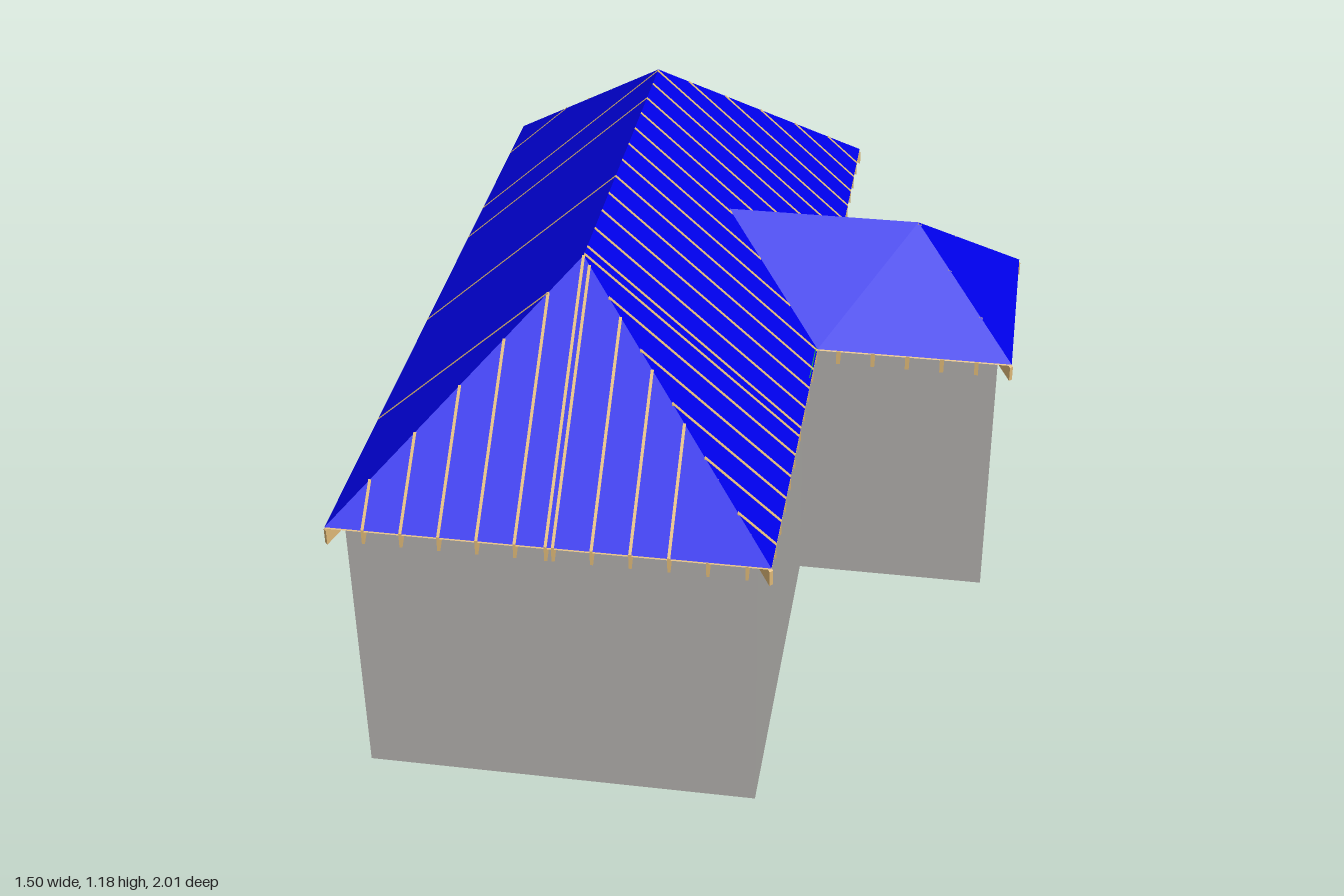
import * as THREE from 'three';

const mat = (name, color, side = THREE.FrontSide) =>
  Object.assign(new THREE.MeshStandardMaterial({ color, side }), { name });

// Main block and wing dimensions
const EAVE = 0.72, PITCH = 0.905, OVER = 0.035;
const MX = -0.2425, MH = 0.5025;           // main ridge x, half width
const WZ = -0.16, WH = 0.2625, WX = 0.745; // wing ridge z, half width, eave end
const EX = MX + MH, L = MX - MH;           // main eaves on the wing side and opposite
const N = WZ - WH, S = WZ + WH;            // wing eaves
const RZ = 1 - MH;                         // main ridge end
const STEP = 0.0865;

// T-shaped plan, inset by d, as [x, z] corners
const plan = d => [
  [L + OVER + d, -0.965 + d], [EX - OVER - d, -0.965 + d],
  [EX - OVER - d, N + OVER + d], [WX - OVER - d, N + OVER + d],
  [WX - OVER - d, S - OVER - d], [EX - OVER - d, S - OVER - d],
  [EX - OVER - d, 0.965 - d], [L + OVER + d, 0.965 - d],
];

export function createModel() {
  const group = new THREE.Group();
  const grey = mat('outer wall grey', 0xacaaa7);
  const dark = mat('wall cavity dark grey', 0x55555a);
  const cream = mat('inner wall cream', 0xe0dcc6, THREE.DoubleSide);
  const blue = mat('roof blue', 0x0000e8, THREE.DoubleSide);
  const wood = mat('timber tan', 0xdcb676, THREE.DoubleSide);
  const green = mat('beam green', 0x1fb82f, THREE.DoubleSide);

  const add = (name, geo, material, parent = group) => {
    const m = new THREE.Mesh(geo, material);
    m.name = name;
    parent.add(m);
  };

  // Walls: three nested rings, open at top and bottom
  const toPoints = d => plan(d).map(([x, z]) => new THREE.Vector2(x, -z)).reverse();
  const ring = (name, d0, d1, material) => {
    const shape = new THREE.Shape(toPoints(d0));
    shape.holes.push(new THREE.Path(toPoints(d1)));
    const geo = new THREE.ExtrudeGeometry(shape, { depth: EAVE - 0.002, bevelEnabled: false });
    add(name, geo.rotateX(-Math.PI / 2), material);
  };
  ring('outerWall', 0, 0.016, grey);
  ring('wallCavity', 0.016, 0.034, dark);
  // Inner lining stands a hair above the wall foot
  const lining = plan(0.0345), liningTop = EAVE - 0.002;
  lining.forEach(([x, z], i) => {
    const [x2, z2] = lining[(i + 1) % lining.length];
    const geo = new THREE.PlaneGeometry(Math.hypot(x2 - x, z2 - z), liningTop);
    geo.rotateY(-Math.atan2(z2 - z, x2 - x));
    geo.translate((x + x2) / 2, liningTop / 2, (z + z2) / 2);
    add('innerWall', geo, cream);
  });

  // Roof slopes: planar polygons of [x, z, run]; height follows the run in from the eave
  const up = run => EAVE + PITCH * run;
  const slope = (name, pts) => {
    // Triangulate in plan, then lift the corners
    const flat = pts.map(p => new THREE.Vector2(p[0], -p[1]));
    const geo = new THREE.ShapeGeometry(new THREE.Shape(flat)).rotateX(-Math.PI / 2);
    const pos = geo.attributes.position;
    for (let i = 0; i < pos.count; i++) {
      const p = pts.find(q => Math.hypot(q[0] - pos.getX(i), q[1] - pos.getZ(i)) < 1e-5);
      pos.setY(i, up(p[2]));
    }
    geo.computeVertexNormals();
    add(name, geo, blue);
  };
  const ridgeF = [MX, RZ, MH], ridgeB = [MX, -RZ, MH];
  const wingTop = [WX - WH, WZ, WH], valleyTop = [EX - WH, WZ, WH];
  slope('frontRoofHip', [[L, 1, 0], [EX, 1, 0], ridgeF]);
  slope('backRoofHip', [[EX, -1, 0], [L, -1, 0], ridgeB]);
  slope('rightRoofSlope', [[L, -1, 0], [L, 1, 0], ridgeF, ridgeB]);
  slope('leftRoofSlope', [[EX, 1, 0], [EX, S, 0], valleyTop, [EX, N, 0], [EX, -1, 0], ridgeB, ridgeF]);
  slope('wingFrontSlope', [[EX, S, 0], [WX, S, 0], wingTop, valleyTop]);
  slope('wingBackSlope', [[WX, N, 0], [EX, N, 0], valleyTop, wingTop]);
  slope('wingEndHip', [[WX, S, 0], [WX, N, 0], wingTop]);

  // Timbers: a box sheared along a line, with plumb-cut ends; corners are [x, z, run]
  const timbers = new THREE.Group();
  timbers.name = 'roofTimbers';
  group.add(timbers);
  const PROUD = 0.001, BELOW = -0.0015;
  const beam = (name, a, b, lift = BELOW, width = 0.01, drop = 0.038, material = wood) => {
    const A = new THREE.Vector3(a[0], up(a[2]) + lift, a[1]);
    const B = new THREE.Vector3(b[0], up(b[2]) + lift, b[1]);
    if (A.distanceTo(B) < 0.02) return;
    const sideways = new THREE.Vector3(B.x - A.x, 0, B.z - A.z).normalize()
      .cross(new THREE.Vector3(0, 1, 0));
    const geo = new THREE.BoxGeometry(1, 1, 1);
    const pos = geo.attributes.position, v = new THREE.Vector3();
    for (let i = 0; i < pos.count; i++) {
      v.lerpVectors(A, B, pos.getX(i) + 0.5).addScaledVector(sideways, pos.getZ(i) * width);
      v.y += (pos.getY(i) - 0.5) * drop;
      pos.setXYZ(i, v.x, v.y, v.z);
    }
    geo.computeVertexNormals();
    add(name, geo, material, timbers);
  };

  // Main rafters along both long slopes
  const zs = [0.49, -0.49];
  for (let k = 0; k <= 10; k++) zs.push(0.455 - k * STEP);
  for (let k = 1; k <= 5; k++) zs.push(1 - k * STEP, -1 + k * STEP);
  zs.forEach((z, i) => {
    const end = Math.min(MH, 1 - Math.abs(z));
    const start = Math.max(0, WH - Math.abs(z - WZ));
    beam('rightRafter', [L, z, 0], [L + end, z, end], i % 5 === 1 ? PROUD : BELOW, 0.008);
    beam('leftRafter', [EX - start, z, start], [EX - end, z, end], PROUD, 0.009);
  });

  // Jack rafters on the front and back hips
  const xs = [MX];
  for (let k = 1; k <= 11; k++) xs.push(L + k * STEP);
  xs.forEach((x, i) => {
    const run = MH - Math.abs(x - MX);
    beam('frontRafter', [x, 1, 0], [x, 1 - run, run], i < 10 ? PROUD : BELOW, 0.007);
    beam('backRafter', [x, -1, 0], [x, -1 + run, run], i % 5 === 3 ? PROUD : BELOW, 0.008);
  });

  // Wing rafters
  for (let k = 1; k <= 8; k++) {
    const x = WX - k * STEP;
    const start = Math.max(0, EX - x), end = Math.min(WH, WX - x);
    for (const s of [-1, 1]) {
      beam('wingRafter', [x, WZ + s * (WH - start), start], [x, WZ + s * (WH - end), end]);
    }
  }
  for (let k = -2; k <= 2; k++) {
    const run = WH - Math.abs(k) * STEP;
    beam('wingEndRafter', [WX, WZ + k * STEP, 0], [WX - run, WZ + k * STEP, run]);
  }

  // Hip and valley beams, corner ties and eave boards beside the valleys
  for (const s of [-1, 1]) {
    for (const [x, d] of [[L, 1], [EX, -1]]) {
      beam('hipBeam', [x, s, 0], [MX, s * RZ, MH], -0.008);
      beam('cornerTie', [x + d * 0.12, s * 0.72, 0.12], [x + d * 0.28, s * 0.88, 0.12],
        -0.008, 0.014, 0.04, green);
    }
    const e = WZ + s * WH;
    beam('wingHipBeam', [WX, e, 0], wingTop, -0.008);
    beam('valleyBeam', [EX - 0.05, e - s * 0.05, 0.05], valleyTop, -0.006, 0.014, 0.045, green);
    beam('valleyEaveBoard', [EX - 0.018, e, 0.005], [EX - 0.018, e + s * 0.14, 0.005],
      0, 0.03, 0.004, green);
  }
  beam('ridgeBoard', ridgeB, ridgeF, -0.008, 0.012, 0.05);
  beam('wingRidgeBoard', valleyTop, wingTop, -0.008, 0.012, 0.05);

  // Sloping soffit under the overhang
  const outer = plan(-OVER), inner = plan(0), verts = [], index = [];
  const lo = up(0) - 0.004, hi = up(OVER) - 0.004;
  outer.forEach((o, i) => {
    const j = (i + 1) % outer.length, n = i * 4;
    verts.push(o[0], lo, o[1], outer[j][0], lo, outer[j][1],
      inner[j][0], hi, inner[j][1], inner[i][0], hi, inner[i][1]);
    index.push(n, n + 1, n + 2, n, n + 2, n + 3);
  });
  const soffit = new THREE.BufferGeometry();
  soffit.setAttribute('position', new THREE.Float32BufferAttribute(verts, 3));
  soffit.setIndex(index);
  soffit.computeVertexNormals();
  add('soffit', soffit, wood);

  return group;
}
